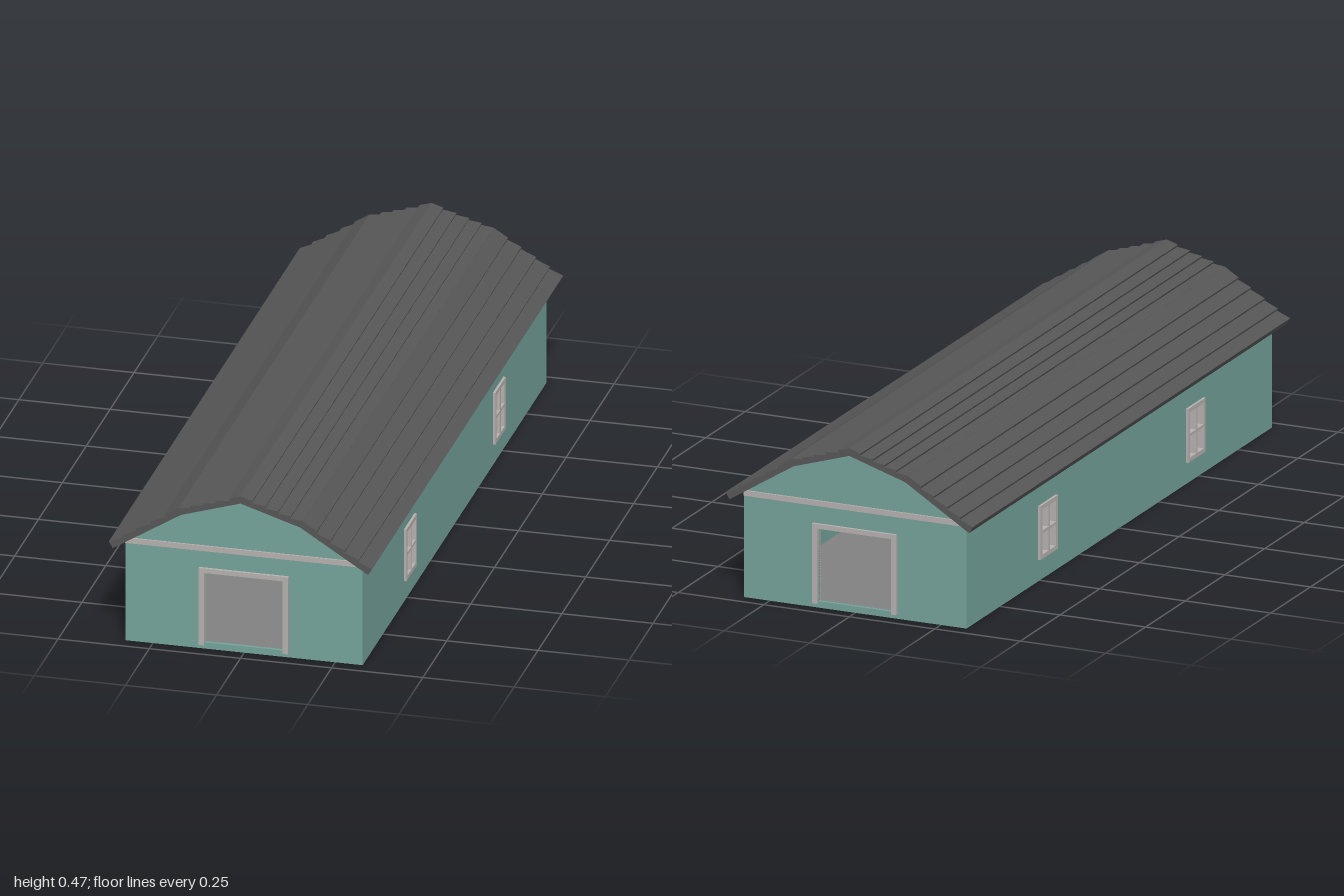
import * as THREE from 'three';

const material = (color) => new THREE.MeshStandardMaterial({ color, flatShading: true });
const teal = material(0x74a19a);
const trim = material(0xb4b0ae);
const slate = material(0x565656);
const concrete = material(0x808080);

const W = 0.325, L = 0.962, T = 0.01; // half width, half length, wall thickness
const WINDOWS = [0.475, -0.455];      // window centres along z

function rectPath(x0, y0, x1, y1, Type = THREE.Path) {
  const p = new Type();
  p.moveTo(x0, y0);
  p.lineTo(x1, y0);
  p.lineTo(x1, y1);
  p.lineTo(x0, y1);
  p.closePath();
  return p;
}

function extrude(name, shape, depth, mat) {
  const mesh = new THREE.Mesh(new THREE.ExtrudeGeometry(shape, { depth, bevelEnabled: false }), mat);
  mesh.name = name;
  return mesh;
}

function box(name, x0, x1, y0, y1, z0, z1, mat) {
  const mesh = new THREE.Mesh(new THREE.BoxGeometry(x1 - x0, y1 - y0, z1 - z0), mat);
  mesh.position.set((x0 + x1) / 2, (y0 + y1) / 2, (z0 + z1) / 2);
  mesh.name = name;
  return mesh;
}

// Gable wall with doorway, door trim and cross band; outer face at local z = L
function endWall(name) {
  const g = new THREE.Group();
  g.name = name;
  const outline = [[-W, 0], [W, 0], [W, 0.299], [0.163, 0.397], [0, 0.448], [-0.163, 0.397], [-W, 0.299]];
  const shape = new THREE.Shape(outline.map(([x, y]) => new THREE.Vector2(x, y)));
  shape.holes.push(rectPath(-0.108, 0.018, 0.108, 0.222));
  const wall = extrude('gableWall', shape, T, teal);
  wall.position.z = L - T;
  g.add(wall);
  const z0 = L - T - 0.002, z1 = L + 0.008;
  g.add(box('doorHeader', -0.123, 0.123, 0.222, 0.235, z0, z1, trim));
  for (const s of [-1, 1]) {
    const post = box('doorPost', 0.108, 0.123, 0.012, 0.222, z0, z1, trim);
    post.position.x *= s;
    g.add(post);
  }
  g.add(box('gableBand', -W, W, 0.284, 0.299, L - 0.002, L + 0.005, trim));
  return g;
}

// Long wall with two windows; s is the side (+1 or -1)
function sideWall(name, s) {
  const g = new THREE.Group();
  g.name = name;
  // Shape is drawn with x = -z, then turned so its depth runs along +x
  const shape = rectPath(-L + T, 0, L - T, 0.299, THREE.Shape);
  for (const z of WINDOWS) shape.holes.push(rectPath(-z - 0.045, 0.07, -z + 0.045, 0.2));
  const wall = extrude('longWall', shape, T, teal);
  wall.rotation.y = Math.PI / 2;
  wall.position.x = s > 0 ? W - T : -W;
  g.add(wall);

  for (const z of WINDOWS) {
    const shape2 = rectPath(-0.055, 0.06, 0.055, 0.21, THREE.Shape);
    // Four panes leave the frame and its cross bars
    for (const [a, b] of [[-0.043, -0.004], [0.004, 0.043]])
      for (const [c, d] of [[0.072, 0.131], [0.139, 0.198]])
        shape2.holes.push(rectPath(a, c, b, d));
    const frame = extrude('windowFrame', shape2, T + 0.009, trim);
    frame.rotation.y = Math.PI / 2;
    frame.position.set(s > 0 ? W - T - 0.002 : -W - 0.007, 0, z);
    g.add(frame);
  }
  return g;
}

// Gambrel roof: stepped board profile on top, plain underside
function roof() {
  const upper = [0, 0.033, 0.069, 0.104, 0.138, 0.17].map((x) => [x, 0.469 - 0.31 * x]);
  const lower = [0.17, 0.21, 0.247, 0.287, 0.325, 0.361].map((x) => [x, 0.416 - 0.617 * (x - 0.17)]);
  const top = [];
  for (const row of [upper, lower]) {
    for (let i = 0; i < row.length; i++) {
      top.push(row[i]);
      if (i > 0 && i < row.length - 1) top.push([row[i][0] - 0.002, row[i][1] - 0.006]);
    }
  }
  top[top.length - 1] = [0.361, 0.298];
  const under = [[0.35, 0.28], [0.163, 0.397]];
  const half = [...top, ...under];
  const mirrored = half.slice(1).reverse().map(([x, y]) => [-x, y]);
  const points = [...half, [0, 0.448], ...mirrored].map(([x, y]) => new THREE.Vector2(x, y));
  const mesh = extrude('roof', new THREE.Shape(points), 2, slate);
  mesh.position.z = -1;
  return mesh;
}

export function createModel() {
  const model = new THREE.Group();
  model.name = 'barn';
  const back = endWall('backWall');
  back.rotation.y = Math.PI;
  model.add(
    endWall('frontWall'), back,
    sideWall('leftWall', 1), sideWall('rightWall', -1),
    box('floor', -W + T, W - T, 0.002, 0.012, -L + T, L - T, concrete),
    roof()
  );
  return model;
}
